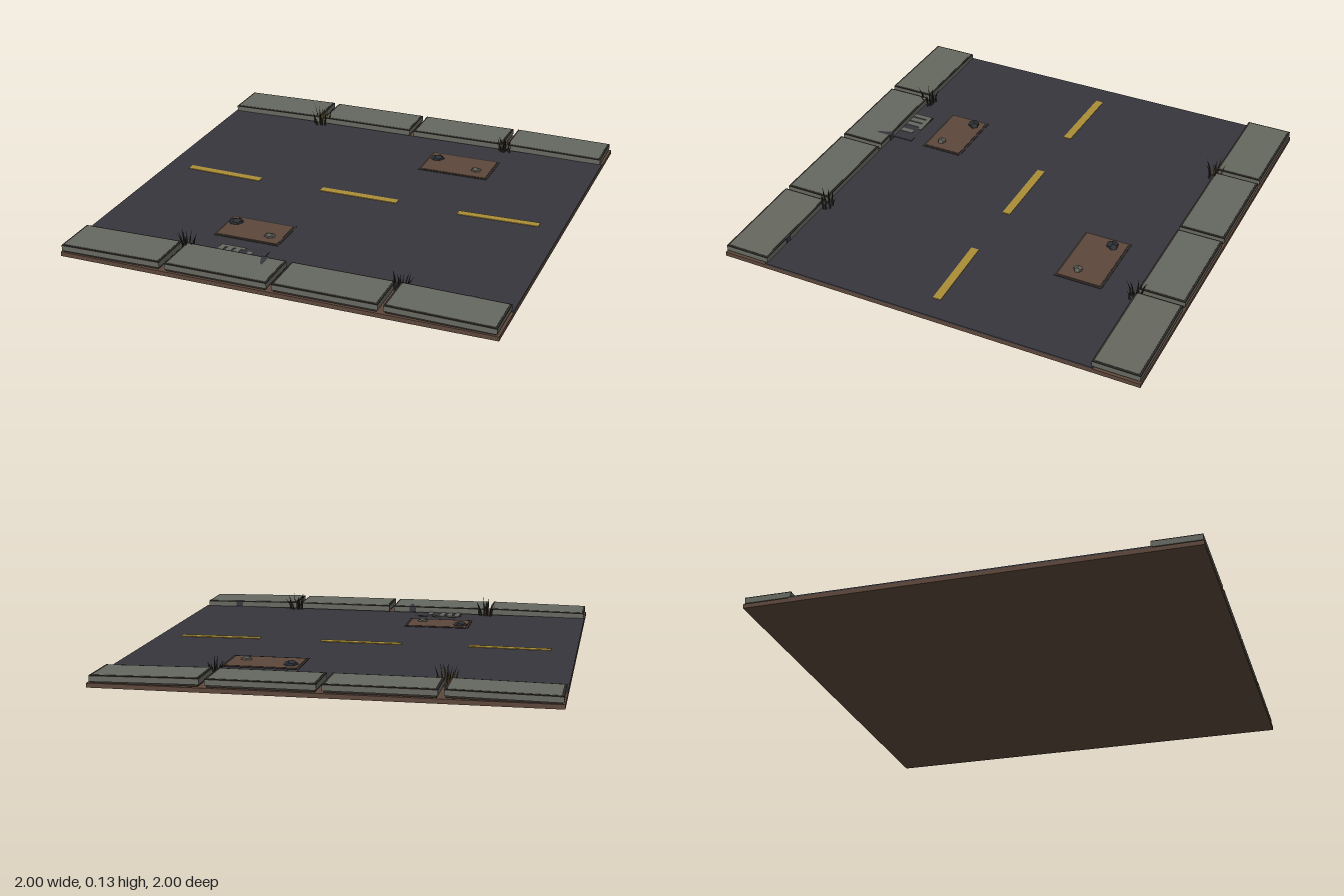
import * as THREE from 'three';

const mat = (name, color, extra = {}) => {
  const m = new THREE.MeshStandardMaterial({ color, flatShading: true, ...extra });
  m.name = name;
  return m;
};

export function createModel() {
  const root = new THREE.Group();
  root.name = 'ruinedRoadTile';

  const soil = mat('soil brown', 0x5c473b);
  const asphalt = mat('asphalt', 0x37363d);
  const concrete = mat('concrete', 0x65685f);
  const edge = mat('dark edge', 0x2f2a26);
  const paint = mat('faded yellow paint', 0xa98c35);
  const darkStone = mat('dark stone', 0x2c2f33);
  const greyStone = mat('grey stone', 0x5a5a52);
  const grass = mat('dead grass', 0x2c2a22, { side: THREE.DoubleSide });
  const dryGrass = mat('dry yellow grass', 0x80682a, { side: THREE.DoubleSide });

  let seed = 7;
  const rand = (a = 0, b = 1) => {
    seed = (seed * 16807) % 2147483647;
    return a + (b - a) * seed / 2147483647;
  };

  const add = (parent, name, geometry, material, x, y, z) => {
    const mesh = new THREE.Mesh(geometry, material);
    mesh.name = name;
    mesh.position.set(x, y, z);
    parent.add(mesh);
    return mesh;
  };
  // Box given by its extents and its bottom and top heights
  const slabBox = (parent, name, m, x0, x1, y0, y1, z0, z1) => add(parent, name,
    new THREE.BoxGeometry(x1 - x0, y1 - y0, z1 - z0), m,
    (x0 + x1) / 2, (y0 + y1) / 2, (z0 + z1) / 2);

  // Ground and road surface
  slabBox(root, 'groundBase', soil, -1, 1, 0, 0.02, -1, 1);
  slabBox(root, 'roadSurface', asphalt, -1, 1, 0.02, 0.027, -0.79, 0.79);

  // Pavement slabs, the end ones sagging outwards
  const slabs = [[-0.995, -0.515, 0.015], [-0.49, -0.012, 0], [0.012, 0.485, 0], [0.51, 0.99, -0.015]];
  for (const side of [-1, 1]) {
    for (const [x0, x1, tilt] of slabs) {
      const slab = new THREE.Group();
      slab.name = 'pavementSlab';
      slab.position.set((x0 + x1) / 2, tilt ? 0.026 : 0.028, side * 0.889);
      slab.rotation.z = tilt;
      root.add(slab);
      const w = (x1 - x0) / 2, d = 0.107;
      slabBox(slab, 'slabFoot', edge, -w + 0.006, w - 0.006, -0.006, 0.003, -d + 0.006, d - 0.006);
      slabBox(slab, 'slabBody', concrete, -w, w, 0.003, 0.026, -d, d);
      slabBox(slab, 'slabRim', edge, -w, w, 0.026, 0.03, -d, d);
      slabBox(slab, 'slabTop', concrete, -w + 0.009, w - 0.009, 0.029, 0.0315, -d + 0.009, d - 0.009);
    }
  }

  // Centre line dashes, slightly askew
  for (const [x, z, turn] of [[-0.69, -0.008, -0.03], [0.012, -0.009, 0], [0.697, -0.008, 0.03]]) {
    add(root, 'centreDash', new THREE.BoxGeometry(0.385, 0.003, 0.038), paint, x, 0.0285, z).rotation.y = turn;
  }

  // Potholes with a broken rim and two loose stones
  const stone = (parent, m, r, x, z, turn) => {
    const s = add(parent, 'looseStone', new THREE.DodecahedronGeometry(r, 0), m, x, 0.033, z);
    s.scale.set(1, 0.55, 0.85);
    s.rotation.y = turn;
  };
  const pothole = (x0, x1, z0, z1, a, b) => {
    const g = new THREE.Group();
    g.name = 'pothole';
    root.add(g);
    slabBox(g, 'potholeRim', edge, x0, x1, 0.024, 0.029, z0, z1);
    slabBox(g, 'potholeSoil', soil, x0 + 0.012, x1 - 0.012, 0.026, 0.031, z0 + 0.012, z1 - 0.012);
    stone(g, darkStone, 0.034, ...a, 0.6);
    stone(g, greyStone, 0.026, ...b, 0.1);
  };
  pothole(0.172, 0.522, -0.625, -0.398, [0.222, -0.55], [0.443, -0.48]);
  pothole(-0.445, -0.128, 0.408, 0.615, [-0.4, 0.47], [-0.2, 0.545]);

  // Broken storm drain
  const drain = new THREE.Group();
  drain.name = 'stormDrain';
  root.add(drain);
  slabBox(drain, 'drainFrame', edge, -0.372, -0.138, 0.024, 0.0285, 0.685, 0.785);
  slabBox(drain, 'drainHole', asphalt, -0.368, -0.142, 0.027, 0.0295, 0.689, 0.785);
  slabBox(drain, 'grateCrossbar', concrete, -0.365, -0.245, 0.028, 0.032, 0.689, 0.708);
  for (const [x, z] of [[-0.352, 0.7], [-0.314, 0.7], [-0.276, 0.7], [-0.213, 0.715]]) {
    slabBox(drain, 'grateBar', concrete, x - 0.013, x + 0.013, 0.028, 0.032, z, 0.782);
  }

  // Chips broken out of the front kerb
  for (const [x, y, s] of [[-0.112, 0.0602, 1], [0.822, 0.0555, -1]]) {
    const chip = new THREE.Shape([
      new THREE.Vector2(-0.018 * s, 0), new THREE.Vector2(0.016 * s, 0),
      new THREE.Vector2(0.016 * s, -0.072), new THREE.Vector2(0.004 * s, -0.064)]);
    add(root, 'kerbChip', new THREE.ShapeGeometry(chip), asphalt, x, y, 0.783).rotation.x = -Math.PI / 2;
    slabBox(root, 'kerbChipFace', asphalt, x - 0.018, x + 0.016, 0.03, y, 0.779, 0.783);
  }

  // Tufts of bent, tapering blades
  const blade = (m, h, bend) => {
    const geo = new THREE.ConeGeometry(0.0055, h, 4, 4, true).translate(0, h / 2, 0);
    const p = geo.attributes.position;
    for (let i = 0; i < p.count; i++) {
      const t = p.getY(i) / h;
      p.setX(i, p.getX(i) + bend * t * t);
    }
    geo.computeVertexNormals();
    const mesh = new THREE.Mesh(geo, m);
    mesh.name = 'grassBlade';
    return mesh;
  };
  const tufts = [[-0.5, -0.775, 0.105, true], [0.5, -0.78, 0.09, false],
    [-0.5, 0.77, 0.1, false], [0.5, 0.775, 0.088, false]];
  for (const [x, z, height, dry] of tufts) {
    const tuft = new THREE.Group();
    tuft.name = 'grassTuft';
    tuft.position.set(x, 0.025, z);
    root.add(tuft);
    for (let i = 0; i < 11; i++) {
      const a = i * 2.4, r = rand(0.008, 0.04);
      const b = blade(dry && i % 3 === 0 ? dryGrass : grass, height * rand(0.55, 1), rand(0.008, 0.028));
      b.position.set(Math.cos(a) * r, 0, -Math.sin(a) * r);
      b.rotation.y = a;
      tuft.add(b);
    }
  }

  return root;
}
